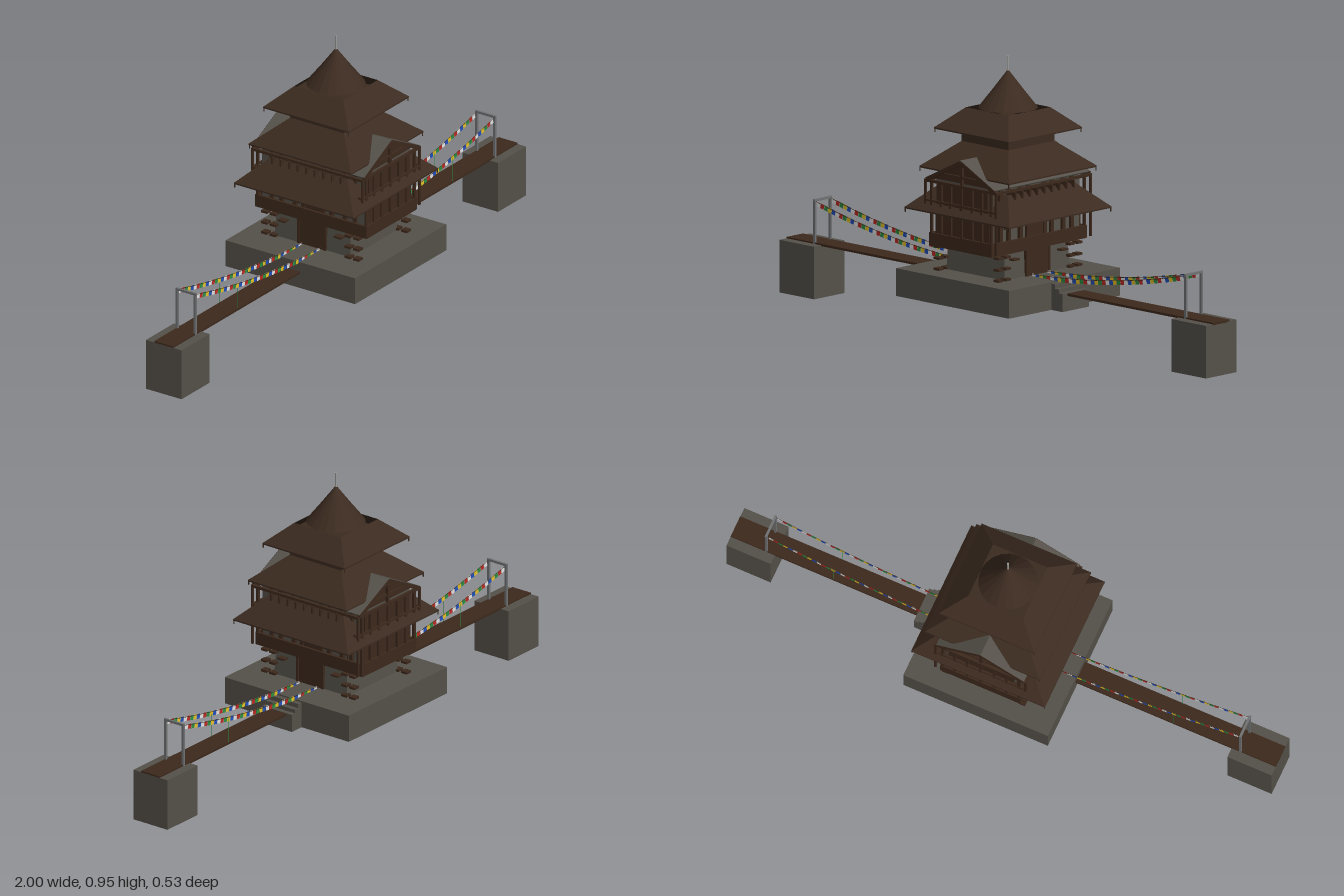
import * as THREE from 'three';

export function createModel() {
  const root = new THREE.Group();
  const mat = (name, color) => new THREE.MeshStandardMaterial({ name, color, flatShading: true, side: THREE.DoubleSide });
  const stone = mat('stone', 0x55514a), roofBrown = mat('roof brown', 0x3c2b20), wood = mat('wood', 0x3d291c);
  const metal = mat('grey metal', 0x717274), paleMetal = mat('pale metal', 0x9a9a98);
  const flagMats = [mat('flag blue', 0x2050c0), mat('flag white', 0xe6e6e6), mat('flag red', 0xc02a24),
    mat('flag green', 0x2a9040), mat('flag yellow', 0xe8c428)];

  const add = (name, geo, m, x = 0, y = 0, z = 0, parent = root) => {
    const mesh = new THREE.Mesh(geo, m);
    mesh.name = name;
    mesh.position.set(x, y, z);
    parent.add(mesh);
    return mesh;
  };
  // box given by its limits
  const box = (name, m, x0, x1, y0, y1, z0, z1, parent = root) =>
    add(name, new THREE.BoxGeometry(x1 - x0, y1 - y0, z1 - z0), m, (x0 + x1) / 2, (y0 + y1) / 2, (z0 + z1) / 2, parent);
  // hollow square frame lying flat
  const frame = (name, m, outer, inner, y0, y1, outerZ = outer, innerZ = inner) => {
    const s = new THREE.Shape([[-outer, -outerZ], [outer, -outerZ], [outer, outerZ], [-outer, outerZ]].map(p => new THREE.Vector2(...p)));
    s.holes.push(new THREE.Path([[-inner, -innerZ], [-inner, innerZ], [inner, innerZ], [inner, -innerZ]].map(p => new THREE.Vector2(...p))));
    const g = new THREE.ExtrudeGeometry(s, { depth: y1 - y0, bevelEnabled: false }).rotateX(-Math.PI / 2);
    return add(name, g, m, 0, y0, 0);
  };
  // open square frustum
  const frustum = (name, m, bottom, top, y0, y1) => {
    const g = new THREE.CylinderGeometry(top * Math.SQRT2, bottom * Math.SQRT2, y1 - y0, 4, 1, true).rotateY(Math.PI / 4);
    return add(name, g, m, 0, (y0 + y1) / 2, 0);
  };
  const signs = [-1, 1];

  // stone platform, hollow below
  frame('platformWall', stone, 0.265, 0.225, 0.125, 0.2);
  box('platformTop', stone, -0.265, 0.265, 0.195, 0.22, -0.265, 0.265);
  frame('platformInnerRing', stone, 0.195, 0.13, 0.122, 0.197);
  for (const z of [-0.07, 0, 0.07]) box('underfloorBeam', wood, -0.1, 0.1, 0.185, 0.196, z - 0.008, z + 0.008);

  // entrance steps
  [[0.317, 0.187], [0.3, 0.2], [0.283, 0.215]].forEach(([x, y]) =>
    box('entranceStep', stone, 0.26, x, 0.125, y, -0.063, 0.063));

  // ground floor with doors and projecting beam ends
  const ground = add('groundFloorWall', new THREE.CylinderGeometry(Math.SQRT1_2, Math.SQRT1_2 * 1.04, 0.1, 4, 1).rotateY(Math.PI / 4), stone, 0, 0.268, 0);
  ground.scale.set(0.262, 1, 0.3);
  for (const s of signs) {
    box('door', wood, s * 0.137 - 0.003, s * 0.137 + 0.003, 0.22, 0.31, -0.053, 0.053);
    for (const t of signs) {
      box('doorJamb', wood, s * 0.138 - 0.005, s * 0.138 + 0.005, 0.22, 0.315, t * 0.053 - 0.005, t * 0.053 + 0.005);
      for (const y of [0.225, 0.262, 0.302])
        for (const z of [0.153, 0.188])
          box('beamEnd', wood, s * 0.14 - 0.012, s * 0.14 + 0.012, y - 0.004, y + 0.004, t * z - 0.012, t * z + 0.012);
      box('sideBeamEnd', wood, s * 0.143 - 0.012, s * 0.143 + 0.012, 0.285, 0.291, t * 0.115 - 0.015, t * 0.115 + 0.015);
    }
  }

  // balcony floor and parapet
  box('balconyFloor', wood, -0.145, 0.145, 0.31, 0.32, -0.228, 0.228);
  frame('balconyParapet', wood, 0.147, 0.138, 0.312, 0.355, 0.228, 0.219);

  // main storey: walls, columns and rails
  box('mainStoreyWall', stone, -0.125, 0.125, 0.315, 0.54, -0.214, 0.214);
  for (const s of signs) {
    box('frontPanel', wood, -0.125, 0.125, 0.32, 0.425, s * 0.216 - 0.003, s * 0.216 + 0.003);
    box('upperFrontPanel', wood, -0.12, 0.12, 0.43, 0.53, s * 0.216 - 0.003, s * 0.216 + 0.003);
    for (const z of [-0.17, -0.13, -0.075, -0.04, 0.04, 0.075, 0.13, 0.17])
      box('sideColumn', wood, s * 0.13 - 0.006, s * 0.13 + 0.006, 0.32, 0.53, z - 0.007, z + 0.007);
    for (const y of [0.395, 0.415])
      box('sideRail', wood, s * 0.13 - 0.004, s * 0.13 + 0.004, y - 0.003, y + 0.003, -0.15, 0.15);
    box('sideShutter', wood, s * 0.128 - 0.003, s * 0.128 + 0.003, 0.35, 0.42, -0.04, 0.04);
    for (const x of [-0.14, -0.095, -0.05, 0, 0.05, 0.095, 0.14])
      box('frontColumn', wood, x - 0.005, x + 0.005, 0.32, 0.53, s * 0.222 - 0.004, s * 0.222 + 0.004);
    for (const t of signs)
      box('cornerPost', wood, s * 0.165 - 0.004, s * 0.165 + 0.004, s > 0 ? 0.32 : 0.45, 0.53, t * 0.225 - 0.003, t * 0.225 + 0.003);
    // rafter brackets under the second roof
    for (const z of [-0.14, -0.105, -0.07, -0.035, 0, 0.035, 0.07, 0.105, 0.14])
      box('rafterBracket', wood, s * 0.155 - 0.02, s * 0.155 + 0.02, 0.5, 0.525, z - 0.003, z + 0.003);
  }
  frame('upperRail', wood, 0.17, 0.16, 0.526, 0.535, 0.228, 0.218);
  frame('lowerRail', wood, 0.17, 0.162, 0.46, 0.467, 0.228, 0.22);

  // tiered roofs, each with eave board, soffit and corner drops
  const tiers = [[0.245, 0.155, 0.43, 0.515], [0.21, 0.11, 0.57, 0.655], [0.175, 0.1, 0.702, 0.77]];
  tiers.forEach(([b, t, y0, y1], i) => {
    frustum('roofSlope', roofBrown, b, t, y0, y1);
    frame('eaveBoard', roofBrown, b, b - 0.012, y0 - 0.005, y0);
    frame('soffit', roofBrown, b - 0.01, [0.12, 0.09, 0.07][i], y0 - 0.001, y0 + 0.001);
    for (const s of signs) for (const u of signs)
      box('cornerDrop', roofBrown, s * (b - 0.002) - 0.0015, s * (b - 0.002) + 0.0015, y0 - 0.017, y0, u * (b - 0.002) - 0.0015, u * (b - 0.002) + 0.0015);
  });
  box('secondStoreyWall', roofBrown, -0.085, 0.085, 0.53, 0.575, -0.19, 0.19);
  box('thirdStoreyWall', roofBrown, -0.11, 0.11, 0.64, 0.708, -0.11, 0.11);

  // conical top roof and finial
  const cone = [[0.1, 0.77], [0.05, 0.834], [0.002, 0.898]].map(p => new THREE.Vector2(...p));
  add('topRoof', new THREE.LatheGeometry(cone, 20), roofBrown);
  add('finial', new THREE.CylinderGeometry(0.004, 0.004, 0.06, 8), paleMetal, 0, 0.916, 0);

  // gabled cross roof running front to back
  const slope = Math.atan2(0.08, 0.16), len = Math.hypot(0.08, 0.16);
  for (const s of signs) {
    const sheet = add('gableRoofSheet', new THREE.BoxGeometry(len, 0.005, 0.456), stone, s * 0.08, 0.579, 0);
    sheet.rotation.z = -s * slope;
    for (const t of signs) {
      const board = add('gableBoard', new THREE.BoxGeometry(len, 0.014, 0.008), wood, s * 0.08, 0.573, t * 0.2255);
      board.rotation.z = -s * slope;
    }
    const tri = new THREE.Shape([[-0.15, 0.54], [0.15, 0.54], [0, 0.614]].map(p => new THREE.Vector2(...p)));
    add('gableFace', new THREE.ShapeGeometry(tri), wood, 0, 0, s * 0.216);
    box('gableKingPost', wood, -0.005, 0.005, 0.535, 0.61, s * 0.22 - 0.005, s * 0.22 + 0.005);
    box('gableTie', wood, -0.09, 0.09, 0.557, 0.565, s * 0.22 - 0.004, s * 0.22 + 0.004);
  }

  // bridges on both sides with end blocks, gateposts and flag ropes
  for (const s of signs) {
    const bridge = new THREE.Group();
    bridge.name = s > 0 ? 'leftBridge' : 'rightBridge';
    root.add(bridge);
    const bx = (name, m, x0, x1, ...rest) => s > 0 ? box(name, m, x0, x1, ...rest, bridge) : box(name, m, -x1, -x0, ...rest, bridge);
    bx('endBlock', stone, 0.838, 1, 0, 0.18, -0.073, 0.073);
    bx('bridgeDeck', wood, 0.255, 1, 0.177, 0.185, -0.039, 0.039);
    bx('gateCrossbar', metal, 0.866, 0.874, 0.325, 0.333, -0.042, 0.042);
    for (const t of signs) {
      const z = t * 0.037;
      bx('gatePost', metal, 0.866, 0.874, 0.18, 0.333, z - 0.004, z + 0.004);
      const curve = new THREE.QuadraticBezierCurve3(new THREE.Vector3(s * 0.87, 0.327, z),
        new THREE.Vector3(s * 0.5, 0.235, z), new THREE.Vector3(s * 0.14, 0.226, z));
      add('flagRope', new THREE.TubeGeometry(curve, 24, 0.001, 4), wood, 0, 0, 0, bridge);
      // small flags in repeating colours
      const n = 42;
      for (let i = 1; i < n; i++) {
        const p = curve.getPoint(i / n), d = curve.getTangent(i / n);
        const flag = add('flag', new THREE.PlaneGeometry(0.016, 0.017), flagMats[i % 5], p.x, p.y - 0.006, p.z, bridge);
        flag.rotation.z = Math.atan(d.y / d.x);
      }
      bx('ropeHanger', flagMats[3], 0.6245, 0.6255, 0.18, 0.268, z - 0.0005, z + 0.0005);
    }
  }
  return root;
}
